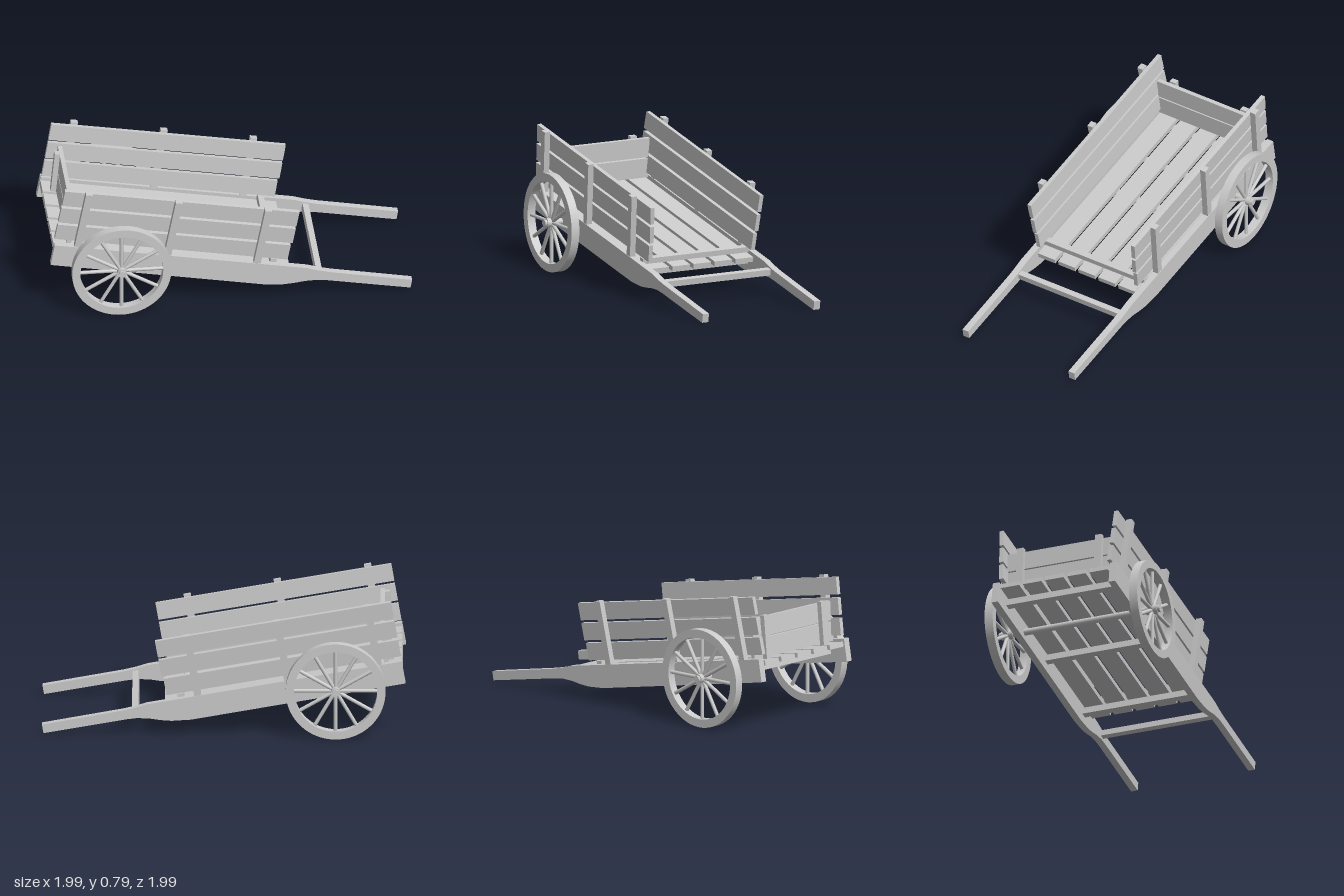
import * as THREE from 'three';
import { toCreasedNormals } from 'three/addons/utils/BufferGeometryUtils.js';

const wood = new THREE.MeshStandardMaterial({ color: 0xcccccc });

export function createModel() {
  const model = new THREE.Group();
  // Cart frame: x runs along the shafts to the handles, y up, z across
  const cart = new THREE.Group();
  cart.name = 'cart';
  cart.rotation.set(0, Math.PI / 4, -Math.PI / 18);
  cart.position.y = 0.191;
  model.add(cart);

  function add(name, geometry, x = 0, y = 0, z = 0, parent = cart) {
    const mesh = new THREE.Mesh(geometry, wood);
    mesh.name = name;
    mesh.position.set(x, y, z);
    parent.add(mesh);
    return mesh;
  }
  // Box given by its limits on each axis
  const beam = (name, x0, x1, y0, y1, z0, z1, parent) =>
    add(name, new THREE.BoxGeometry(x1 - x0, y1 - y0, z1 - z0),
      (x0 + x1) / 2, (y0 + y1) / 2, (z0 + z1) / 2, parent);
  function addGroup(name, x, y, z) {
    const group = new THREE.Group();
    group.name = name;
    group.position.set(x, y, z);
    cart.add(group);
    return group;
  }

  // Shaft outline: deep under the bed, tapering into a handle
  const shaftShape = new THREE.Shape([
    [-1.035, -0.064], [0.2, -0.067], [0.31, -0.055], [0.37, -0.04], [0.43, -0.02],
    [0.5, -0.005], [0.56, -0.002], [1.038, -0.002], [1.038, 0.05], [0.57, 0.053],
    [0.5, 0.057], [0.43, 0.066], [-1.035, 0.068],
  ].map(([x, y]) => new THREE.Vector2(x, y)));
  const shaftGeometry = new THREE.ExtrudeGeometry(shaftShape, { depth: 0.04, bevelEnabled: false });

  // Wheel parts
  const rimShape = new THREE.Shape().absarc(0, 0, 0.283, 0, Math.PI * 2);
  rimShape.holes.push(new THREE.Path().absarc(0, 0, 0.236, 0, Math.PI * 2, true));
  const rimGeometry = toCreasedNormals(
    new THREE.ExtrudeGeometry(rimShape, { depth: 0.05, bevelEnabled: false, curveSegments: 40 })
      .translate(0, 0, -0.025), 0.6);
  const spokeGeometry = new THREE.CylinderGeometry(0.011, 0.011, 0.225, 8).translate(0, 0.128, 0);
  const hubGeometry = new THREE.CylinderGeometry(0.026, 0.026, 0.07, 16).rotateX(Math.PI / 2);
  const capGeometry = new THREE.CylinderGeometry(0.02, 0.02, 0.1, 12).rotateX(Math.PI / 2);

  for (const side of [1, -1]) {
    const label = side > 0 ? 'near' : 'far';
    add(label + 'Shaft', shaftGeometry, 0, 0, side * 0.36 - 0.02);

    // Side leaning slightly outward: three planks held by three outer posts
    const wall = addGroup(label + 'Side', 0, 0.09, side * 0.331);
    wall.rotation.x = side * 0.065;
    for (let i = 0; i < 3; i++) {
      const y = i * 0.1165;
      beam('sidePlank', -1.035, i ? 0.322 : 0.314, y, y + 0.1, -0.0125, 0.0125, wall);
    }
    for (const x of [-0.9, -0.38, 0.138]) {
      beam('sidePost', x - 0.02, x + 0.02, -0.03, 0.346, side * 0.03 - 0.0175, side * 0.03 + 0.0175, wall);
    }

    // Wheel with twelve spokes
    const wheel = addGroup(label + 'Wheel', -0.641, -0.018, side * 0.444);
    wheel.rotation.z = Math.PI / 18;
    add('rim', rimGeometry, 0, 0, 0, wheel);
    add('hub', hubGeometry, 0, 0, 0, wheel);
    add('hubCap', capGeometry, 0, 0, 0, wheel);
    for (let i = 0; i < 12; i++) {
      add('spoke', spokeGeometry, 0, 0, 0, wheel).rotation.z = i * Math.PI / 6;
    }
  }

  // Axle
  add('axle', new THREE.CylinderGeometry(0.019, 0.019, 0.86, 16).rotateX(Math.PI / 2), -0.641, -0.018, 0);

  // Bed planks and the crossbars beneath them
  for (let i = -2; i <= 2; i++) {
    const z = i * 0.136;
    beam('bedPlank', -1.035, 0.33, 0.025, 0.053, z - 0.057, z + 0.057);
  }
  for (const x of [-0.9, -0.32, 0.235]) {
    beam('bedCrossbar', x - 0.02, x + 0.02, -0.015, 0.025, -0.345, 0.345);
  }

  // Low bar at the front of the bed and the bar between the handles
  beam('frontBar', 0.217, 0.253, 0.053, 0.085, -0.345, 0.345);
  beam('handleBar', 0.485, 0.52, 0.012, 0.048, -0.345, 0.345);

  // Tailgate leaning slightly back: two planks and two posts
  const tailgate = addGroup('tailgate', -0.945, 0.053, 0);
  tailgate.rotation.z = 0.08;
  for (const y of [0.008, 0.128]) {
    beam('tailgatePlank', -0.0125, 0.0125, y, y + 0.112, -0.33, 0.33, tailgate);
  }
  for (const z of [-0.24, 0.24]) {
    beam('tailgatePost', -0.0425, -0.0125, 0, 0.252, z - 0.02, z + 0.02, tailgate);
  }

  return model;
}
